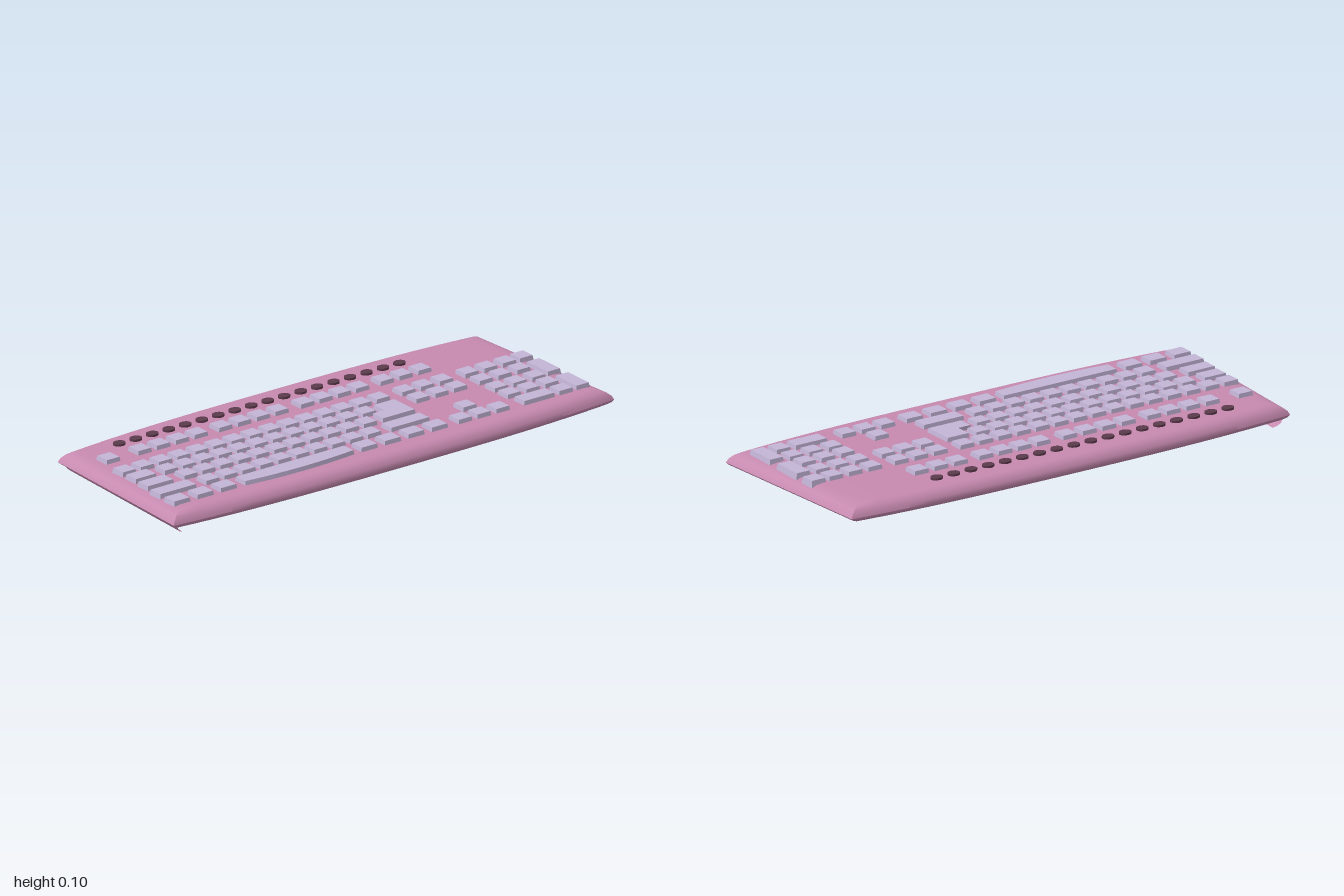
import * as THREE from 'three';
import { toCreasedNormals } from 'three/addons/utils/BufferGeometryUtils.js';

const SURFACE = 0.087, KEY_TOP = 0.103, KEY_BASE = 0.036;

const shellMat = new THREE.MeshStandardMaterial({ color: 0xc78ab0, side: THREE.DoubleSide });
const keyMat = new THREE.MeshStandardMaterial({ color: 0xc3b4d6 });
const buttonMat = new THREE.MeshStandardMaterial({ color: 0x5c3a4c });

function indexedGeometry(points, index) {
  const g = new THREE.BufferGeometry();
  g.setAttribute('position', new THREE.Float32BufferAttribute(points, 3));
  g.setIndex(index);
  return toCreasedNormals(g, 0.7);
}

// Plan outline: bowed long sides, slightly slanted ends. u = -1..1 across, t = -1..1 along.
function plan(u, t, dx = 0, dz = 0) {
  const halfWidth = 0.37 + 0.033 * (1 - Math.abs(t) ** 3) - dx;
  return [u * halfWidth, t * (0.976 + 0.021 * u - dz)];
}

// Open-bottomed case: rings stacked from the lower rim to the flat top
function buildShell() {
  const N = 24, M = 2 * (N + 1);
  const rings = [ // y, inset of sides, inset of ends
    [0.028, 0.012, 0.03], [0.036, 0.003, 0.01], [0.045, 0, 0], [0.06, 0.005, 0.008],
    [0.074, 0.016, 0.025], [0.084, 0.03, 0.05], [SURFACE, 0.048, 0.078],
  ];
  const pts = [], idx = [];
  for (const [y, dx, dz] of rings) {
    for (const side of [1, -1]) {
      for (let i = 0; i <= N; i++) {
        const [x, z] = plan(side, side * (1 - (2 * i) / N), dx, dz);
        pts.push(x, y, z);
      }
    }
  }
  for (let k = 0; k < rings.length - 1; k++) {
    for (let i = 0; i < M; i++) {
      const j = (i + 1) % M, a = k * M, b = a + M;
      idx.push(a + i, a + j, b + j, a + i, b + j, b + i);
    }
  }
  const top = (rings.length - 1) * M;
  for (let i = 0; i < N; i++) {
    const r0 = top + i, r1 = r0 + 1, l0 = top + M - 1 - i, l1 = l0 - 1;
    idx.push(r0, r1, l1, r0, l1, l0);
  }
  return indexedGeometry(pts, idx);
}

// Lip curling under the front end
function buildLip() {
  const pts = [], idx = [];
  const rows = [[0.03, 0.012, 0.025], [0.017, 0.012, 0.032], [0.006, 0.018, 0.044], [0, 0.024, 0.06]];
  rows.forEach(([y, dx, dz], k) => {
    for (const u of [-1, 1]) {
      const [x, z] = plan(u, 1, dx, dz);
      pts.push(x, y, z);
    }
    if (k) {
      const a = 2 * k;
      idx.push(a, a + 1, a - 1, a, a - 1, a - 2);
    }
  });
  return indexedGeometry(pts, idx);
}

// Key cap from an outline of [x, z] corners, widening downwards
function keyGeometry(corners) {
  const shape = new THREE.Shape(corners.map(([x, z]) => new THREE.Vector2(x, -z)));
  const g = new THREE.ExtrudeGeometry(shape, { depth: KEY_TOP - KEY_BASE, bevelEnabled: false });
  g.rotateX(-Math.PI / 2).translate(0, KEY_BASE, 0);
  g.computeBoundingBox();
  const c = g.boundingBox.getCenter(new THREE.Vector3());
  const p = g.attributes.position;
  for (let i = 0; i < p.count; i++) {
    const grow = (SURFACE - p.getY(i)) * 0.16;
    p.setX(i, p.getX(i) + Math.sign(p.getX(i) - c.x) * grow);
    p.setZ(i, p.getZ(i) + Math.sign(p.getZ(i) - c.z) * grow);
  }
  g.computeVertexNormals();
  return g;
}

export function createModel() {
  const model = new THREE.Group();
  model.name = 'keyboard';

  const add = (parent, name, geometry, material) => {
    const mesh = new THREE.Mesh(geometry, material);
    mesh.name = name;
    parent.add(mesh);
    return mesh;
  };

  add(model, 'case', buildShell(), shellMat);
  add(model, 'frontLip', buildLip(), shellMat);

  const keys = new THREE.Group();
  keys.name = 'keys';
  model.add(keys);
  const rect = (name, x0, x1, z0, z1) =>
    add(keys, name, keyGeometry([[x0, z0], [x1, z0], [x1, z1], [x0, z1]]), keyMat);

  // Square keys: x of the row, then runs of [first z, step, count, half length]
  const rows = [
    [-0.19, [[-0.546, 0.085, 3], [-0.265, 0.083, 4], [0.1, 0.085, 4], [0.466, 0.085, 4], [0.864, 0, 1]]],
    [-0.062, [[-0.908, 0, 1], [-0.832, 0.085, 3], [-0.546, 0.085, 3], [-0.26, 0.0821, 15]]],
    [0.022, [[-0.832, 0.085, 3], [-0.546, 0.085, 3]]],
    [0.017, [[-0.138, 0.0816, 12]]],
    [0.111, [[-0.832, 0.085, 3]]],
    [0.098, [[-0.08, 0.0813, 11]]],
    [0.188, [[-0.832, 0.085, 3], [-0.461, 0, 1]]],
    [0.185, [[-0.032, 0.0813, 10]]],
    [0.272, [[-0.832, 0, 1], [-0.546, 0.085, 3], [-0.26, 0.106, 4, 0.037], [0.695, 0.1055, 3, 0.037]]],
  ];
  for (const [x, runs] of rows) {
    for (const [z0, step, count, half = 0.031] of runs) {
      for (let i = 0; i < count; i++) {
        const z = z0 + i * step;
        rect('key', x - 0.031, x + 0.031, z - half, z + half);
      }
    }
  }

  // Wide keys
  rect('numpadZeroKey', 0.172, 0.3, -0.94, -0.88);
  rect('numpadWideKey', 0.002, 0.13, -0.94, -0.88);
  rect('numpadEnterKey', 0.241, 0.303, -0.78, -0.641);
  rect('rightShiftKey', 0.154, 0.216, -0.281, -0.106);
  rect('tabKey', -0.014, 0.048, 0.827, 0.922);
  rect('capsKey', 0.067, 0.129, 0.811, 0.929);
  rect('leftShiftKey', 0.154, 0.216, 0.774, 0.94);

  // L-shaped enter key
  add(keys, 'enterKey', keyGeometry([
    [-0.003, -0.286], [0.125, -0.286], [0.125, -0.138], [0.066, -0.138], [0.066, -0.191], [-0.003, -0.191],
  ]), keyMat);

  // Space bar with a bowed front edge
  const bar = [[0.242, 0.621], [0.242, 0.127]];
  for (let i = 0; i <= 8; i++) {
    const t = i / 4 - 1;
    bar.push([0.302 + 0.014 * (1 - t * t), 0.374 + 0.247 * t]);
  }
  add(keys, 'spaceBar', keyGeometry(bar), keyMat);

  // Row of small oval buttons
  const buttons = new THREE.Group();
  buttons.name = 'buttons';
  model.add(buttons);
  const oval = new THREE.CylinderGeometry(1, 1, 0.012, 16);
  for (let i = 0; i < 18; i++) {
    const b = add(buttons, 'ovalButton', oval, buttonMat);
    b.scale.set(0.02, 1, 0.024);
    b.position.set(-0.287, 0.089, -0.528 + i * 0.0746);
  }
  return model;
}
